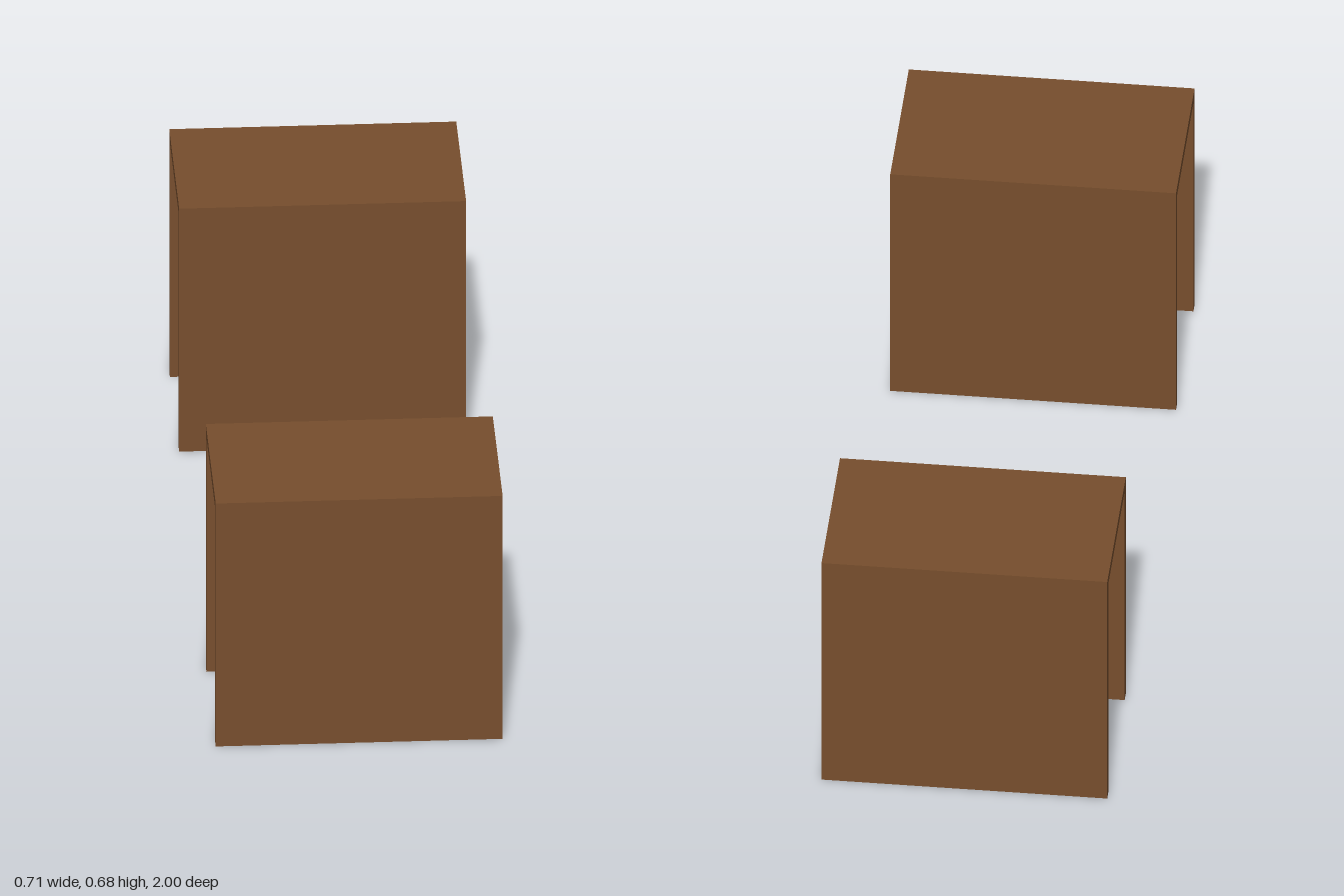
import * as THREE from 'three';

const WIDTH = 0.71, HEIGHT = 0.677, DEPTH = 0.425, WALL = 0.026;

export function createModel() {
  const model = new THREE.Group();
  model.name = 'cabinetPair';
  const wood = new THREE.MeshStandardMaterial({ color: 0x774e2d });
  wood.name = 'brown wood';

  const addPanel = (parent, name, w, h, d, x, y, z) => {
    const panel = new THREE.Mesh(new THREE.BoxGeometry(w, h, d), wood);
    panel.name = name;
    panel.position.set(x, y, z);
    parent.add(panel);
  };

  // Two identical shells, open at the bottom and on the -x side
  const wallHeight = HEIGHT - WALL;
  for (const [name, side] of [['frontShell', 1], ['backShell', -1]]) {
    const shell = new THREE.Group();
    shell.name = name;
    shell.position.z = side * (1 - DEPTH / 2);

    addPanel(shell, 'topPanel', WIDTH, WALL, DEPTH, 0, HEIGHT - WALL / 2, 0);
    addPanel(shell, 'frontPanel', WIDTH, wallHeight, WALL, 0, wallHeight / 2, (DEPTH - WALL) / 2);
    addPanel(shell, 'backPanel', WIDTH, wallHeight, WALL, 0, wallHeight / 2, -(DEPTH - WALL) / 2);
    addPanel(shell, 'leftPanel', WALL, wallHeight, DEPTH - 2 * WALL, (WIDTH - WALL) / 2, wallHeight / 2, 0);
    model.add(shell);
  }
  return model;
}
